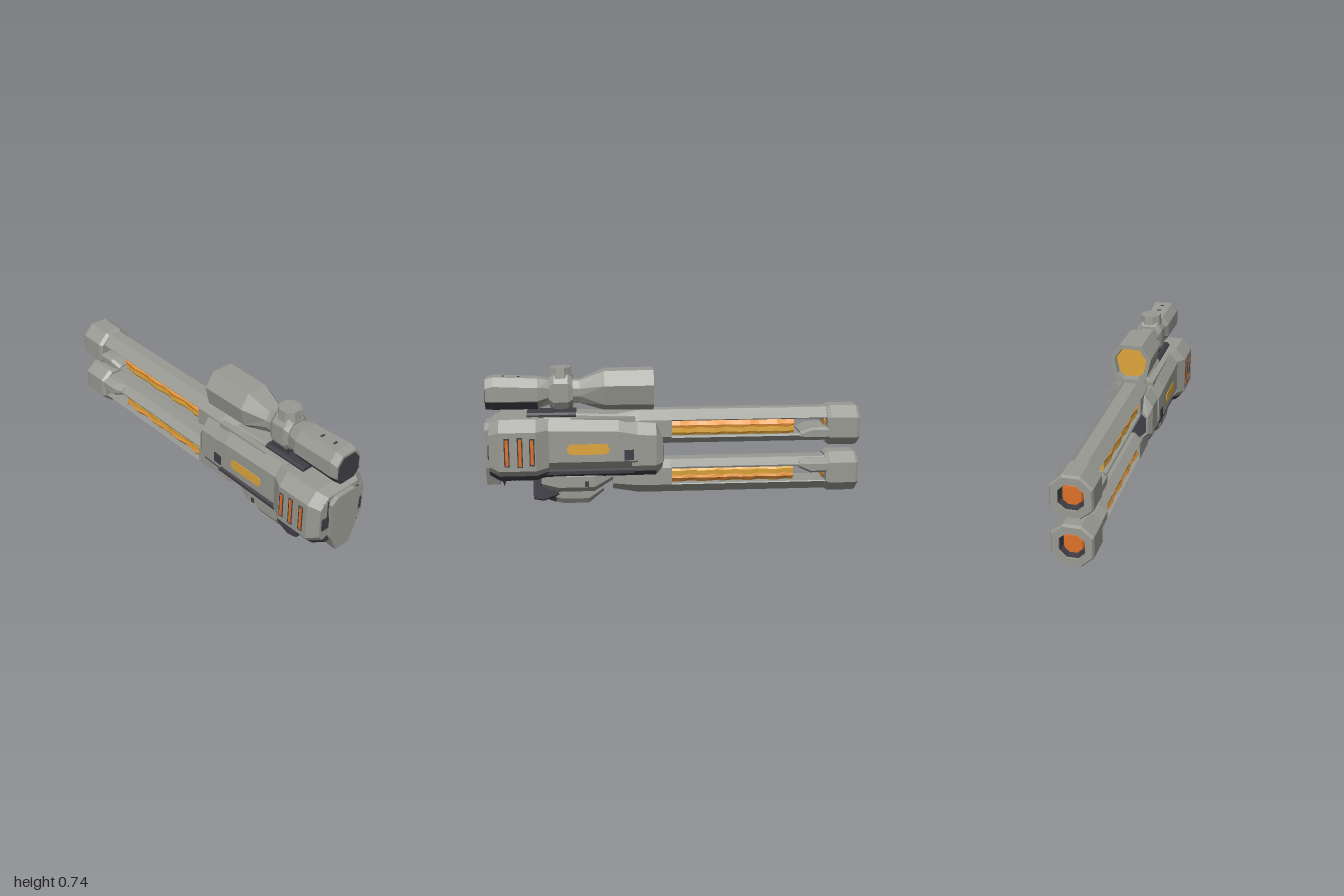
import * as THREE from 'three';

const mat = (name, color) => Object.assign(new THREE.MeshStandardMaterial({ color }), { name });

// Cross-section at z, from the +x half outline listed bottom to top
const ring = (z, half) => [...half, ...half.map(([x, y]) => [-x, y]).reverse()].map(([x, y]) => [x, y, z]);
// Chamfered box section: half width, bottom, top, chamfer sizes
const oct = (z, w, y0, y1, cx = 0.03, cy = cx) =>
  ring(z, [[w - cx, y0], [w, y0 + cy], [w, y1 - cy], [w - cx, y1]]);

// Faceted skin through sections that start at the +z end; ends are closed
function loft(rings) {
  const p = [];
  const tri = (a, b, c) => p.push(...a, ...b, ...c);
  const n = rings[0].length;
  for (let k = 0; k + 1 < rings.length; k++) {
    const r = rings[k], q = rings[k + 1];
    for (let i = 0; i < n; i++) {
      const j = (i + 1) % n;
      tri(r[i], q[i], q[j]);
      tri(r[i], q[j], r[j]);
    }
  }
  const first = rings[0], last = rings[rings.length - 1];
  for (let i = 1; i + 1 < n; i++) {
    tri(first[0], first[i], first[i + 1]);
    tri(last[0], last[i + 1], last[i]);
  }
  const g = new THREE.BufferGeometry();
  g.setAttribute('position', new THREE.Float32BufferAttribute(p, 3));
  g.computeVertexNormals();
  return g;
}

export function createModel() {
  const root = new THREE.Group();
  root.name = 'doubleBarrelBlaster';
  const grey = mat('gunmetal', 0x9a9a94), dark = mat('darkMetal', 0x403e45);
  const yellow = mat('yellowGlass', 0xdfa63a), amber = mat('amberCore', 0xe6953a), orange = mat('orangeGlow', 0xdf7028);

  const add = (name, geo, m, x = 0, y = 0, z = 0, parent = root) => {
    const mesh = new THREE.Mesh(geo, m);
    mesh.name = name;
    mesh.position.set(x, y, z);
    parent.add(mesh);
    return mesh;
  };
  const box = (name, m, w, h, d, x, y, z) => add(name, new THREE.BoxGeometry(w, h, d), m, x, y, z);

  // Body: rear housing, receiver and front collar
  add('housing', loft([
    oct(0.975, 0.15, 0.19, 0.465, 0.05, 0.055), oct(0.92, 0.185, 0.165, 0.49, 0.055, 0.06),
    oct(0.73, 0.185, 0.165, 0.49, 0.055, 0.06), oct(0.665, 0.15, 0.185, 0.485, 0.045, 0.05),
  ]), grey);
  add('receiver', loft([
    oct(0.69, 0.15, 0.2, 0.49, 0.05, 0.06), oct(0.3, 0.15, 0.2, 0.48, 0.05, 0.06), oct(0.2, 0.142, 0.2, 0.46, 0.05, 0.06),
  ]), grey);
  add('frontCollar', loft([
    oct(0.23, 0.135, 0.17, 0.46, 0.045, 0.06), oct(0.1, 0.13, 0.17, 0.45, 0.045, 0.06), oct(0.065, 0.11, 0.2, 0.38, 0.04),
  ]), grey);
  add('collarFace', loft([oct(0.066, 0.1, 0.21, 0.37, 0.04), oct(0.062, 0.1, 0.21, 0.37, 0.04)]), dark);

  // Dark underside of the body
  const under = (w, y, c) => [[w - c, y], [w, y + c], [w - c, y + c + 0.01]];
  add('housingUnderside', loft([
    ring(0.977, under(0.127, 0.188, 0.026)), ring(0.92, under(0.162, 0.163, 0.031)),
    ring(0.73, under(0.162, 0.163, 0.031)), ring(0.665, under(0.13, 0.182, 0.026)),
  ]), dark);
  add('belly', loft([oct(0.72, 0.125, 0.168, 0.225, 0.03, 0.02), oct(0.22, 0.12, 0.168, 0.225, 0.03, 0.02)]), dark);
  add('collarUnderside', loft([ring(0.235, under(0.117, 0.167, 0.03)), ring(0.1, under(0.112, 0.167, 0.03))]), dark);

  // End plate
  const plate = [[0.045, 0.12], [0.088, 0.22], [0.1, 0.43], [0.055, 0.46]];
  add('endPlate', loft([ring(1, plate), ring(0.93, plate)]), grey);

  // Hooks below the end plate
  for (const [x, z, h] of [[-0.03, 0.91, 0.065], [0.03, 0.91, 0.065], [0, 0.86, 0.05], [-0.03, 0.83, 0.04], [0.03, 0.83, 0.04]]) {
    const hook = add('hook', new THREE.ConeGeometry(0.024, h, 4), dark, x, 0.172 - h / 2, z);
    hook.rotation.x = Math.PI;
  }

  // Details repeated on both sides
  const pill = new THREE.Shape();
  pill.absarc(0.083, 0, 0.028, -Math.PI / 2, Math.PI / 2);
  pill.absarc(-0.083, 0, 0.028, Math.PI / 2, Math.PI * 1.5);
  const pillGeo = new THREE.ExtrudeGeometry(pill, { depth: 0.007, bevelEnabled: false, curveSegments: 6 });
  for (const s of [1, -1]) {
    add('sideLamp', pillGeo, yellow, s * 0.146, 0.328, 0.46).rotation.y = s * Math.PI / 2;
    [[0.88, 0.138], [0.812, 0.146], [0.75, 0.132]].forEach(([z, h]) => {
      box('ventFrame', dark, 0.004, h + 0.012, 0.028, s * 0.184, 0.325, z);
      box('ventGlow', orange, 0.005, h, 0.016, s * 0.1845, 0.325, z);
    });
    box('endStrap', dark, 0.05, 0.07, 0.03, s * 0.112, 0.315, 0.967);
    box('endRib', grey, 0.03, 0.09, 0.02, s * 0.115, 0.395, 0.967);
    box('endGap', dark, 0.012, 0.14, 0.012, s * 0.1, 0.37, 0.972);
    box('collarLatch', dark, 0.008, 0.055, 0.05, s * 0.147, 0.293, 0.245);
    box('topRail', grey, 0.035, 0.025, 0.34, s * 0.088, 0.475, 0.38);
  }

  // Lower grip
  add('gripSaddle', loft([
    oct(0.71, 0.09, 0.1, 0.2, 0.03), oct(0.62, 0.103, 0.08, 0.2, 0.03), oct(0.43, 0.103, 0.08, 0.2, 0.03), oct(0.33, 0.08, 0.14, 0.2, 0.02),
  ]), grey);
  add('gripSaddleFace', loft([oct(0.714, 0.086, 0.1, 0.2, 0.03), oct(0.706, 0.086, 0.1, 0.2, 0.03)]), dark);
  add('gripKeel', loft([
    oct(0.7, 0.06, 0.042, 0.18, 0.02), oct(0.6, 0.05, 0.004, 0.18, 0.02, 0.03),
    oct(0.46, 0.05, 0.004, 0.18, 0.02, 0.03), oct(0.38, 0.05, 0.07, 0.18, 0.02),
  ]), grey);
  add('gripNose', loft([
    oct(0.745, 0.05, 0.06, 0.18, 0.015), oct(0.69, 0.064, 0.035, 0.18, 0.02), oct(0.635, 0.056, 0.014, 0.18, 0.02, 0.03),
  ]), dark);
  for (const s of [1, -1]) {
    const fin = add('gripFin', loft([
      oct(0.755, 0.018, 0.04, 0.17, 0.006), oct(0.7, 0.022, 0.03, 0.17, 0.008), oct(0.62, 0.02, 0.06, 0.17, 0.008),
    ]), dark, s * 0.055);
    fin.rotation.z = s * 0.05;
    box('gripMark', dark, 0.006, 0.03, 0.02, s * 0.102, 0.128, 0.47);
  }

  // Scope with a recessed rear lens
  const bell = k => [[0.05, 0.515], [0.09, 0.55], [0.112, 0.655], [0.06, 0.73]].map(([x, y]) => [x * k, 0.625 + (y - 0.625) * k]);
  add('scope', loft([
    oct(0.99, 0.08, 0.533, 0.69, 0.035, 0.045), oct(0.95, 0.085, 0.53, 0.7, 0.035, 0.045),
    oct(0.72, 0.08, 0.53, 0.69, 0.035, 0.045), oct(0.66, 0.06, 0.55, 0.68, 0.025, 0.04),
    oct(0.5, 0.06, 0.555, 0.675, 0.025, 0.04), ring(0.37, bell(0.97)), ring(0.11, bell(1)),
    ring(0.11, bell(0.8)), ring(0.15, bell(0.76)),
  ]), grey);
  add('scopeUnderside', loft([
    ring(0.992, [[0.046, 0.531], [0.079, 0.572], [0.04, 0.58]]), ring(0.95, [[0.051, 0.528], [0.084, 0.57], [0.04, 0.58]]),
    ring(0.72, [[0.046, 0.528], [0.079, 0.57], [0.04, 0.58]]),
  ]), dark);
  add('frontLens', loft([oct(0.994, 0.069, 0.541, 0.678, 0.03, 0.04), oct(0.988, 0.069, 0.541, 0.678, 0.03, 0.04)]), dark);
  add('rearLens', loft([ring(0.149, bell(0.75)), ring(0.143, bell(0.75))]), yellow);
  add('scopeBand', loft([
    oct(0.66, 0.065, 0.54, 0.69, 0.03, 0.04), oct(0.635, 0.075, 0.52, 0.71, 0.03, 0.045),
    oct(0.56, 0.075, 0.52, 0.71, 0.03, 0.045), oct(0.535, 0.065, 0.54, 0.69, 0.03, 0.04),
  ]), grey);
  const knob = new THREE.CylinderGeometry(0.058, 0.064, 0.06, 8).toNonIndexed();
  knob.computeVertexNormals();
  add('scopeKnob', knob, grey, 0, 0.715, 0.6).rotation.y = Math.PI / 8;
  box('scopeMark', dark, 0.025, 0.006, 0.012, 0, 0.696, 0.9);
  box('scopeMark', dark, 0.025, 0.006, 0.012, 0, 0.693, 0.82);

  // Scope mount
  add('mountNeck', loft([oct(0.65, 0.05, 0.48, 0.56, 0.01), oct(0.54, 0.05, 0.48, 0.56, 0.01)]), dark);
  add('mountBase', loft([oct(0.78, 0.075, 0.48, 0.51, 0.01), oct(0.52, 0.075, 0.48, 0.51, 0.01)]), dark);
  add('mountRail', loft([oct(0.53, 0.07, 0.47, 0.505, 0.01), oct(0.3, 0.07, 0.47, 0.495, 0.01)]), grey);

  // Two barrels, the lower one mirrored in y
  for (const upper of [true, false]) {
    const barrel = new THREE.Group();
    barrel.name = upper ? 'upperBarrel' : 'lowerBarrel';
    root.add(barrel);
    const sec = (z, half) => ring(z, upper ? half : half.map(([x, y]) => [x, 0.57 - y]).reverse());
    const part = (name, m, rings) => add(name, loft(rings), m, 0, 0, 0, barrel);
    const tube = [[0.04, 0.33], [0.08, 0.37], [0.08, 0.462], [0.033, 0.512]];
    const shrunk = tube.map(([x, y]) => [x * 0.85, 0.42 + (y - 0.42) * 0.75]);
    part('barrelRoot', grey, [sec(0.33, shrunk), sec(0.19, tube), sec(0.015, tube)]);
    const outer = [[0.076, 0.457], [0.08, 0.462], [0.033, 0.512]];
    const inner = [[0.04, 0.33], [0.08, 0.365], [0.076, 0.375]];
    part('outerRail', grey, [sec(0.02, outer), sec(-0.85, outer)]);
    part('innerRail', grey, [sec(0.02, inner), sec(-0.85, inner)]);

    // Lumpy glowing core in the slot
    const amberRings = [], yellowRings = [];
    for (let i = 0; i <= 14; i++) {
      const z = 0.016 - i * 0.0475, d = 0.005 * Math.sin(i * 2.3), w = 0.064 + 0.005 * Math.sin(i * 1.7);
      amberRings.push(sec(z, [[w, 0.415 + d], [w + 0.004, 0.43], [w - 0.012, 0.452 + d * 0.6]]));
      yellowRings.push(sec(z, [[w - 0.012, 0.37], [w, 0.39 + d * 0.5], [w - 0.002, 0.42 + d]]));
    }
    part('coreOuter', amber, amberRings);
    part('coreInner', yellow, yellowRings);

    // Cheeks leading into the hollow muzzle
    const cheek = (w, top) => [[w - 0.04, 0.335], [w, 0.36], [w, top - 0.012], [w - 0.015, top]];
    part('muzzleCheek', grey, [sec(-0.68, cheek(0.085, 0.385)), sec(-0.74, cheek(0.1, 0.41)), sec(-0.85, cheek(0.1, 0.41))]);
    const muzzle = k => [[0.045, 0.305], [0.105, 0.355], [0.105, 0.465], [0.045, 0.522]]
      .map(([x, y]) => [x * k, 0.413 + (y - 0.413) * k]);
    part('muzzle', grey, [
      sec(-0.825, muzzle(0.88)), sec(-0.845, muzzle(1)), sec(-0.985, muzzle(1)), sec(-1, muzzle(0.93)),
      sec(-1, muzzle(0.6)), sec(-0.94, muzzle(0.59)),
    ]);
    part('muzzleLiner', dark, [
      sec(-0.93, muzzle(0.595)), sec(-0.99, muzzle(0.595)), sec(-0.99, muzzle(0.575)), sec(-0.945, muzzle(0.56)),
    ]);
    part('muzzleGlow', orange, [sec(-0.94, muzzle(0.52)), sec(-0.975, muzzle(0.42))]);
    part('chamberGlow', amber, [sec(-0.82, muzzle(0.4)), sec(-0.828, muzzle(0.4))]);
  }
  return root;
}
